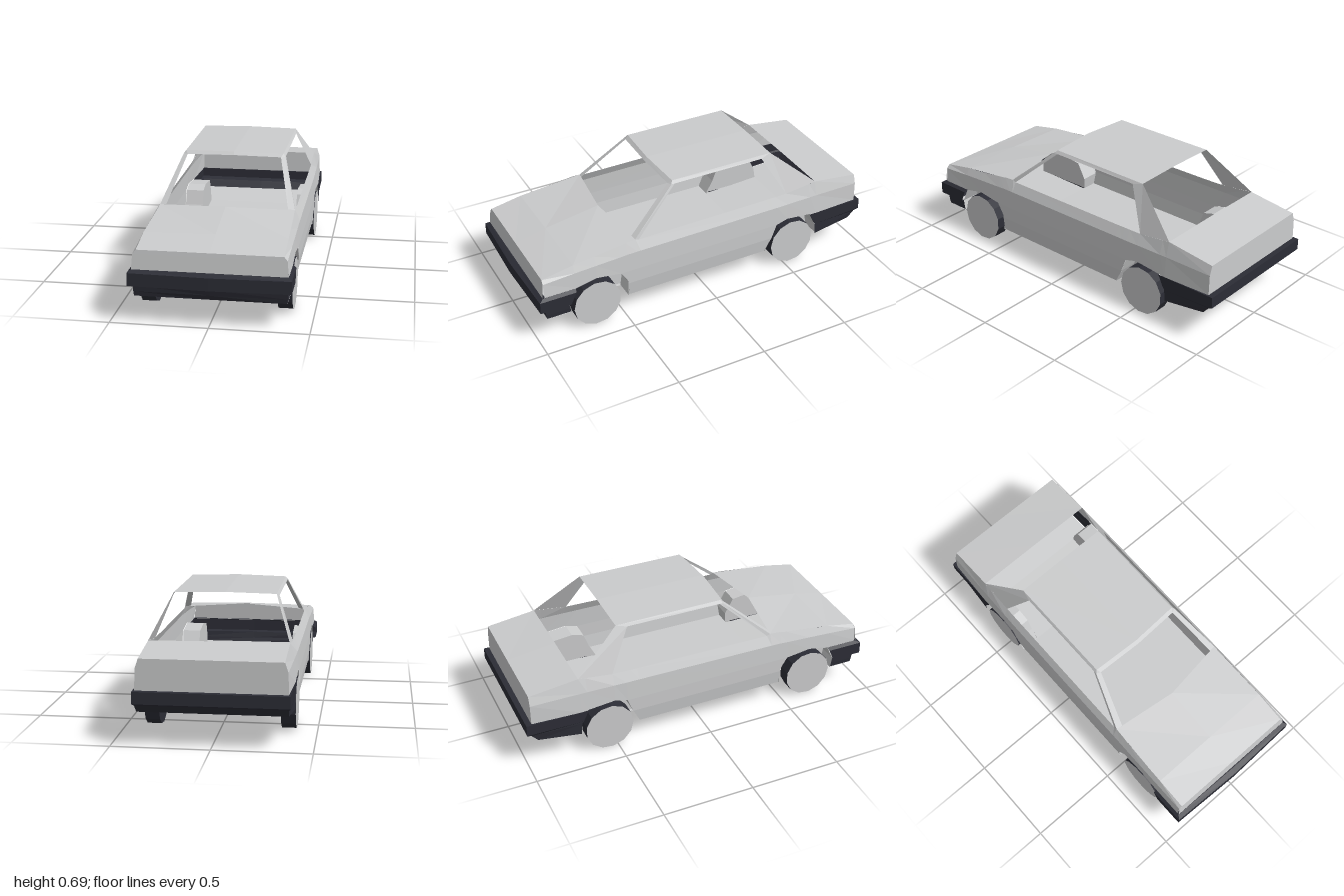
import * as THREE from 'three';

const body = new THREE.MeshStandardMaterial({ color: 0xcbcccd, side: THREE.DoubleSide, flatShading: true });
body.name = 'light grey paint';
const trim = new THREE.MeshStandardMaterial({ color: 0x2c2d36, side: THREE.DoubleSide, flatShading: true });
trim.name = 'dark trim';

// Sheet through rows of [x, y, z] points
function sheet(name, rows, material, parent) {
  const pos = [];
  for (let i = 0; i + 1 < rows.length; i++) {
    for (let j = 0; j + 1 < rows[i].length; j++) {
      const a = rows[i][j], b = rows[i + 1][j], c = rows[i + 1][j + 1], d = rows[i][j + 1];
      pos.push(...a, ...b, ...c, ...a, ...c, ...d);
    }
  }
  const geo = new THREE.BufferGeometry();
  geo.setAttribute('position', new THREE.Float32BufferAttribute(pos, 3));
  geo.computeVertexNormals();
  const mesh = new THREE.Mesh(geo, material);
  mesh.name = name;
  parent.add(mesh);
}

const flip = ([x, y, z]) => [-x, y, z];
// The same sheet on both sides of the car (winding reversed on the right)
function pair(name, rows, material, parent) {
  sheet('left' + name, rows, material, parent);
  sheet('right' + name, rows.map(r => r.map(flip).reverse()), material, parent);
}
// Row from side to side: corner point plus a centre point
const across = (x, y, z, yc = y, zc = z) => [[-x, y, z], [0, yc, zc], [x, y, z]];

export function createModel() {
  const car = new THREE.Group();
  car.name = 'car';

  // Side panels: z, belt x, belt y, shoulder x, shoulder y, lower edge
  const stations = [
    [0.955, 0.366, 0.375, 0.383, 0.355, 0.27],
    [0.78, 0.367, 0.408, 0.385, 0.368, 0.275],
    [0.66, 0.366, 0.42, 0.386, 0.375, 0.30],
    [0.52, 0.364, 0.438, 0.386, 0.382, 0.28],
    [0.47, 0.362, 0.445, 0.386, 0.385, 0.19],
    [0.48, 0.362, 0.445, 0.386, 0.385, 0.12],
    [0.42, 0.36, 0.448, 0.386, 0.386, 0.12],
    [0.40, 0.36, 0.44, 0.386, 0.386, 0.12],
    [-0.37, 0.36, 0.447, 0.386, 0.392, 0.12],
    [-0.41, 0.36, 0.448, 0.386, 0.392, 0.20],
    [-0.44, 0.36, 0.448, 0.386, 0.392, 0.28],
    [-0.51, 0.36, 0.45, 0.385, 0.393, 0.30],
    [-0.66, 0.36, 0.468, 0.383, 0.394, 0.285],
    [-0.70, 0.36, 0.474, 0.382, 0.394, 0.28],
    [-0.97, 0.358, 0.44, 0.375, 0.39, 0.28],
  ];
  pair('SidePanel', stations.map(([z, bx, by, sx, sy, low]) => {
    const wide = z < -0.9 ? 0.378 : 0.391;
    return [[bx, by, z], [sx, sy, z], [wide, Math.max(low, 0.28), z],
      [wide, Math.max(low, 0.2), z], [low < 0.2 ? 0.382 : wide, low, z]];
  }), body, car);

  // Bonnet, nose, boot lid and tail
  sheet('bonnet', [across(0.36, 0.448, 0.42, 0.465, 0.47),
    across(0.367, 0.408, 0.78, 0.414), across(0.366, 0.375, 0.955)], body, car);
  sheet('nose', [across(0.366, 0.375, 0.955), across(0.383, 0.355, 0.957),
    across(0.391, 0.27, 0.965)], body, car);
  sheet('bootLid', [across(0.358, 0.44, -0.97), across(0.36, 0.474, -0.70, 0.477)], body, car);
  sheet('tail', [across(0.378, 0.28, -0.97), across(0.375, 0.39, -0.97),
    across(0.358, 0.44, -0.97)], body, car);

  // Roof with its front header and side rails
  const roofFront = across(0.268, 0.683, 0.155, 0.688, 0.17);
  sheet('roof', [across(0.27, 0.683, -0.45, 0.688), roofFront], body, car);
  sheet('windscreenHeader', [roofFront, across(0.256, 0.666, 0.175, 0.672, 0.187)], body, car);
  pair('RoofRail', [
    [[0.268, 0.683, 0.155], [0.28, 0.667, 0.165]],
    [[0.27, 0.683, -0.45], [0.28, 0.667, -0.39]],
  ], body, car);

  // Pillars
  pair('FrontPillar', [
    [[0.325, 0.452, 0.425], [0.36, 0.448, 0.42], [0.36, 0.44, 0.40]],
    [[0.256, 0.666, 0.175], [0.28, 0.667, 0.165], [0.28, 0.667, 0.145]],
    [[0.256, 0.666, 0.175], [0.268, 0.683, 0.155], [0.28, 0.667, 0.145]],
  ], body, car);
  pair('RearPillar', [
    [[0.36, 0.45, -0.51], [0.36, 0.474, -0.70]],
    [[0.28, 0.667, -0.39], [0.27, 0.683, -0.45]],
  ], body, car);

  // Floor, notched around the wheels: z, y, half width
  const floor = [
    [0.945, 0.13, 0.383], [0.81, 0.128, 0.385], [0.81, 0.128, 0.29], [0.48, 0.12, 0.29],
    [0.48, 0.12, 0.382], [-0.37, 0.12, 0.382], [-0.37, 0.12, 0.29], [-0.71, 0.14, 0.29],
    [-0.71, 0.14, 0.385], [-0.94, 0.165, 0.375],
  ];
  sheet('floor', floor.map(([z, y, x]) => [[x, y, z], [-x, y, z]]), body, car);

  // Wheel housings: arch swept inwards and closed by an inner wall
  const arches = {
    Front: [[0.81, 0.128], [0.82, 0.19], [0.78, 0.275], [0.66, 0.30], [0.52, 0.28], [0.47, 0.19], [0.48, 0.12]],
    Rear: [[-0.37, 0.12], [-0.41, 0.20], [-0.44, 0.28], [-0.51, 0.30], [-0.66, 0.285], [-0.70, 0.20], [-0.71, 0.14]],
  };
  for (const [end, arch] of Object.entries(arches)) {
    pair(end + 'WheelHousing', arch.map(([z, y]) =>
      [[0.388, y, z], [0.285, y, z], [0.285, 0.13, z]]), body, car);
  }

  // Wrap-round bumpers: y, half width, end z, corner z, middle z
  const bumpers = {
    frontBumper: [
      [0.275, 0.385, 0.78, 0.95, 0.95], [0.275, 0.392, 0.78, 0.965, 0.97],
      [0.262, 0.408, 0.785, 0.987, 1.0], [0.195, 0.408, 0.815, 0.987, 1.0],
      [0.19, 0.385, 0.82, 0.955, 0.965], [0.155, 0.385, 0.815, 0.95, 0.955],
      [0.13, 0.383, 0.81, 0.945, 0.945],
    ],
    rearBumper: [
      [0.28, 0.375, -0.66, -0.965, -0.965], [0.28, 0.388, -0.66, -1.0, -1.0],
      [0.218, 0.388, -0.69, -1.0, -1.0], [0.205, 0.38, -0.70, -0.975, -0.975],
      [0.165, 0.376, -0.705, -0.94, -0.94], [0.14, 0.385, -0.71, -0.72, -0.94],
    ],
  };
  for (const [name, rows] of Object.entries(bumpers)) {
    const skirt = name === 'rearBumper' ? rows.slice(0, 5) : rows;
    sheet(name, skirt.map(([y, x, end, corner, mid]) => {
      const endX = name === 'rearBumper' ? 0.391 : x;
      const endY = name === 'rearBumper' && y === 0.165 ? 0.14 : y;
      return [[-endX, endY, end], [-x, y, corner], [0, y, mid], [x, y, corner], [endX, endY, end]];
    }), trim, car);
  }

  // Wheels: dark tyre and inner face, light outer disc
  const tyre = new THREE.CylinderGeometry(0.135, 0.135, 0.076, 13);
  for (const [end, z] of [['front', 0.66], ['rear', -0.545]]) {
    for (const side of [1, -1]) {
      const wheel = new THREE.Mesh(tyre, [trim, body, trim]);
      wheel.name = end + (side > 0 ? 'Left' : 'Right') + 'Wheel';
      wheel.rotation.z = -side * Math.PI / 2;
      wheel.position.set(side * 0.353, 0.135, z);
      car.add(wheel);
    }
  }
  return car;
}
